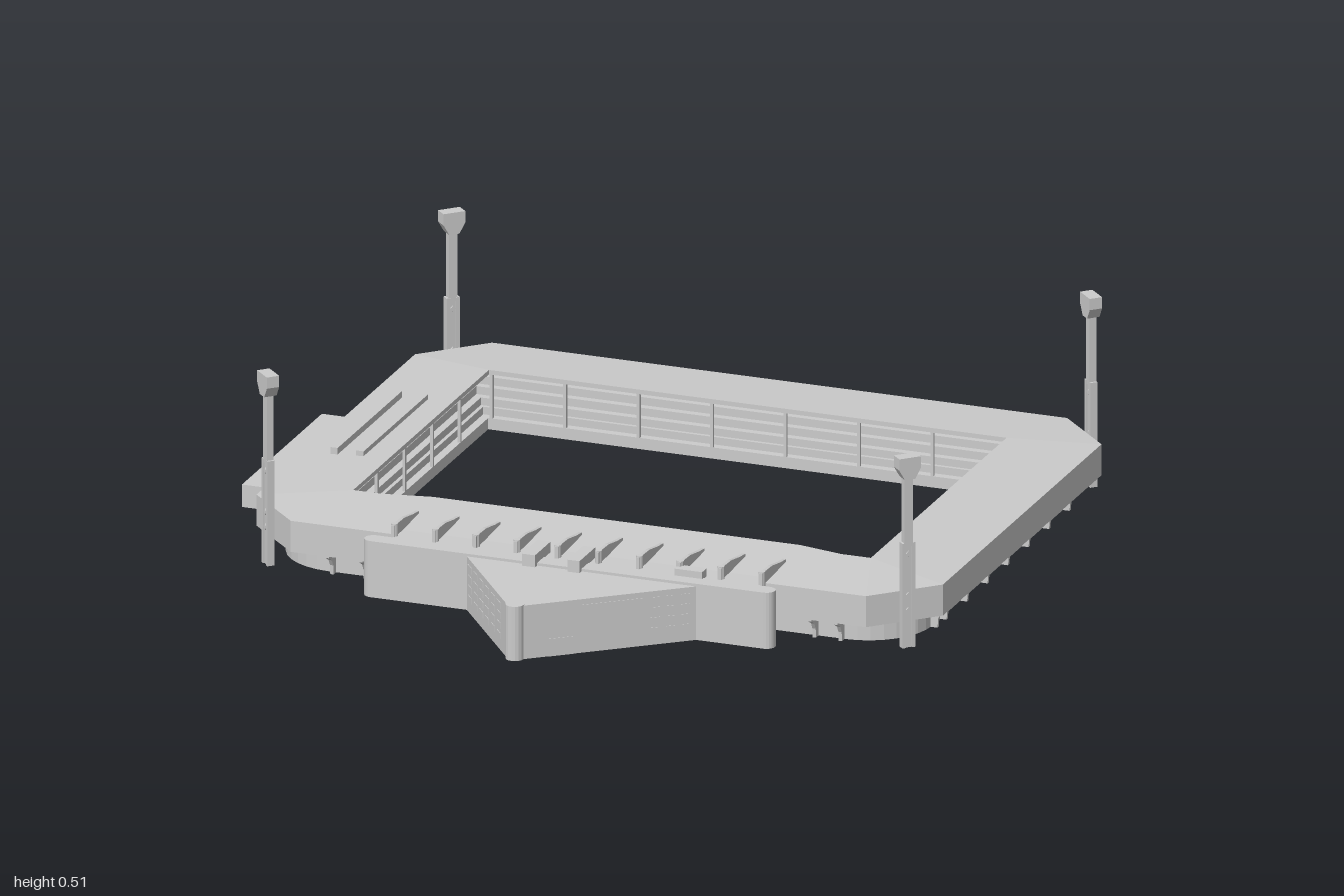
import * as THREE from 'three';

const mat = new THREE.MeshStandardMaterial({ color: 0xcccccc, flatShading: true, side: THREE.DoubleSide });

function add(parent, name, geo, x = 0, y = 0, z = 0, ry = 0) {
  const m = new THREE.Mesh(geo, mat);
  m.name = name;
  m.position.set(x, y, z);
  m.rotation.y = ry;
  parent.add(m);
  return m;
}

// box given by its x, y and z limits
function block(parent, name, x0, x1, y0, y1, z0, z1) {
  return add(parent, name, new THREE.BoxGeometry(x1 - x0, y1 - y0, z1 - z0),
    (x0 + x1) / 2, (y0 + y1) / 2, (z0 + z1) / 2);
}

// horizontal plate from a plan outline in [x, z]
const plan = pts => pts.map(([x, z]) => new THREE.Vector2(x, -z));
function slab(parent, name, outline, y0, y1, hole) {
  const shape = new THREE.Shape(plan(outline));
  if (hole) shape.holes.push(new THREE.Path(plan(hole)));
  const g = new THREE.ExtrudeGeometry(shape, { depth: y1 - y0, bevelEnabled: false });
  g.rotateX(-Math.PI / 2);
  return add(parent, name, g, 0, y0, 0);
}

// upright plate whose profile runs outward along [ox, oz]
function fin(parent, name, profile, width, x, z, ox, oz) {
  const shape = new THREE.Shape(profile.map(p => new THREE.Vector2(...p)));
  const g = new THREE.ExtrudeGeometry(shape, { depth: width, bevelEnabled: false });
  g.translate(0, 0, -width / 2);
  return add(parent, name, g, x, 0, z, Math.atan2(-oz, ox));
}

// skin through matching closed loops of [x, z], each at its own height
function loft(loops) {
  const pos = [], idx = [], n = loops[0].pts.length;
  for (const { pts, y } of loops) for (const [x, z] of pts) pos.push(x, y, z);
  for (let r = 0; r < loops.length - 1; r++) {
    for (let i = 0; i < n; i++) {
      const a = r * n + i, b = r * n + (i + 1) % n;
      idx.push(a, b, b + n, a, b + n, a + n);
    }
  }
  const g = new THREE.BufferGeometry();
  g.setAttribute('position', new THREE.Float32BufferAttribute(pos, 3));
  g.setIndex(idx);
  g.computeVertexNormals();
  return g;
}

// eight-sided outer outline, moved inward by d
function outer(d) {
  const c = 0.15 - 0.586 * d, l = -0.855 + d, r = 0.995 - d, b = -0.905 + d, f = 0.505 - d;
  return [[l + c, f], [-0.55, f], [-0.42, f], [0.57, f], [0.69, f], [r - c, f],
    [r, f - c], [r, b + c], [r - c, b], [l + c, b], [l, b + c], [l, f - c]];
}

// pitch opening, moved outward by d; the front edge bulges inward
function opening(d) {
  const l = -0.625 - d, r = 0.77 + d, b = -0.675 - d, f = 0.275 + d;
  return [[l, f], [-0.55, f], [-0.42, f - 0.025], [0.57, f - 0.025], [0.69, f], [r, f],
    [r, f], [r, b], [r, b], [l, b], [l, b], [l, f]];
}
const cleanOpening = d => opening(d).filter((p, i) => ![6, 8, 10, 11].includes(i));

// plan rectangle with rounded corners
function rounded(x0, x1, z0, z1, r, steps) {
  const pts = [];
  [[x1 - r, z1 - r], [x0 + r, z1 - r], [x0 + r, z0 + r], [x1 - r, z0 + r]].forEach(([cx, cz], k) => {
    for (let i = 0; i <= steps; i++) {
      const a = (k + i / steps) * Math.PI / 2;
      pts.push([cx + r * Math.cos(a), cz + r * Math.sin(a)]);
    }
  });
  return pts;
}

function floodlight(parent, x, z, sx, sz) {
  const g = new THREE.Group();
  g.name = 'floodlightMast';
  g.position.set(x, 0, z);
  g.rotation.y = Math.atan2(sx, sz);
  for (const s of [-1, 1]) block(g, 'mastLeg', s * 0.013 - 0.005, s * 0.013 + 0.005, 0, 0.28, -0.01, 0.01);
  block(g, 'mastWeb', -0.009, 0.009, 0, 0.28, -0.006, 0.006);
  block(g, 'mastShaft', -0.012, 0.012, 0.27, 0.47, -0.009, 0.009);
  for (const y of [0.1, 0.14, 0.25]) {
    add(g, 'mastPlate', new THREE.BoxGeometry(0.012, 0.012, 0.018), 0, y, 0).rotation.z = Math.PI / 4;
  }
  const head = new THREE.Shape([[-0.014, 0.452], [0.014, 0.452], [0.03, 0.48], [0.03, 0.51],
    [-0.03, 0.51], [-0.03, 0.48]].map(p => new THREE.Vector2(...p)));
  add(g, 'lampHead', new THREE.ExtrudeGeometry(head, { depth: 0.034, bevelEnabled: false }), 0, 0, -0.017);
  parent.add(g);
}

// wall frame: local x runs from a to b, local z points outward
function face(parent, name, a, b) {
  const g = new THREE.Group();
  g.name = name;
  g.position.set(a[0], 0, a[1]);
  g.rotation.y = Math.atan2(a[1] - b[1], b[0] - a[0]);
  parent.add(g);
  return g;
}
function windows(g, x0, dx, cols, rows) {
  for (let i = 0; i < cols; i++) for (let j = 0; j < rows; j++) {
    const x = x0 + i * dx, y = 0.03 + j * 0.027;
    block(g, 'window', x, x + dx * 0.6, y, y + 0.016, -0.002, 0.0015);
  }
}

export function createModel() {
  const root = new THREE.Group();
  root.name = 'stadium';

  // lower wall and stepped seating
  slab(root, 'base', rounded(-0.795, 0.935, -0.845, 0.445, 0.17, 8), 0, 0.05, cleanOpening(0.025));
  slab(root, 'pitchWall', cleanOpening(0.026), 0, 0.03, cleanOpening(0.003));
  for (let i = 0; i < 4; i++) {
    slab(root, 'terrace', outer(0.045).filter((p, k) => ![1, 2, 3, 4].includes(k)),
      0.049 + i * 0.021, 0.07 + i * 0.021, cleanOpening(0.035 + i * 0.02));
  }

  // fascia, roof and soffits as one skin
  add(root, 'roof', loft([
    { pts: outer(0.075), y: 0.044 }, { pts: outer(0), y: 0.062 }, { pts: outer(0), y: 0.145 },
    { pts: opening(0), y: 0.16 }, { pts: opening(0), y: 0.148 }, { pts: outer(0.04), y: 0.135 },
  ]));

  // brackets under the overhang
  const rib = [[-0.01, 0], [0.018, 0], [0.02, 0.025], [0.03, 0.042], [0.05, 0.054], [0.05, 0.06], [-0.01, 0.06]];
  for (let i = 0; i < 8; i++) {
    const z = -0.645 + i * 0.1435 - (i === 7 ? 0.08 : 0);
    fin(root, 'rib', rib, 0.009, 0.935, z, 1, 0);
    if (z < -0.48 || z > 0.08) fin(root, 'rib', rib, 0.009, -0.795, z, -1, 0);
  }
  for (let i = 0; i < 13; i++) fin(root, 'rib', rib, 0.009, -0.62 + i * 0.115, -0.845, 0, -1);
  for (const x of [-0.61, -0.52, 0.69, 0.76]) fin(root, 'rib', rib, 0.009, x, 0.445, 0, 1);

  // posts along the roof edge
  const post = (x, z) => block(root, 'roofPost', x - 0.004, x + 0.004, 0.02, 0.15, z - 0.004, z + 0.004);
  for (let i = 0; i < 8; i++) {
    post(-0.62 + i * 0.198, -0.682);
    post(-0.62 + i * 0.198, 0.285);
  }
  for (let i = 1; i < 5; i++) for (const x of [-0.632, 0.777]) post(x, -0.68 + i * 0.193);

  // corner floodlights
  for (const [x, z, sx, sz] of [[-0.788, -0.838, -1, -1], [0.935, -0.838, 1, -1],
    [-0.788, 0.447, -1, 1], [0.932, 0.44, 1, 1]]) floodlight(root, x, z, sx, sz);

  // side annex and roof vents
  block(root, 'sideAnnex', -1, -0.79, 0, 0.06, -0.48, 0.08);
  for (const x of [-0.775, -0.705]) block(root, 'roofVent', x - 0.01, x + 0.01, 0.14, 0.168, -0.43, 0.02);

  // front building with round-ended facade
  block(root, 'frontBlock', -0.42, 0.57, 0, 0.147, 0.43, 0.56);
  slab(root, 'facade', rounded(-0.483, 0.623, 0.54, 0.586, 0.0229, 5), 0, 0.15);

  // pointed entrance wing
  slab(root, 'entranceWing', [[-0.2, 0.57], [-0.2, 0.585], [0.022, 0.88], [0.058, 0.88], [0.42, 0.585], [0.42, 0.57]], 0, 0.143);
  add(root, 'wingTip', new THREE.CylinderGeometry(0.024, 0.024, 0.145, 16), 0.041, 0.0725, 0.874);
  const leftFace = face(root, 'wingLeftFace', [-0.2, 0.585], [0.022, 0.88]);
  windows(leftFace, 0.015, 0.053, 6, 4);
  const rightFace = face(root, 'wingRightFace', [0.058, 0.88], [0.42, 0.585]);
  block(rightFace, 'largePanel', 0.165, 0.33, 0.015, 0.128, -0.002, 0.0015);
  block(rightFace, 'door', 0.07, 0.14, 0, 0.047, -0.002, 0.0015);
  windows(rightFace, 0.345, 0.04, 3, 4);

  // roof struts over the front stand
  const strut = [[0.36, 0.145], [0.36, 0.16], [0.4, 0.165], [0.46, 0.176], [0.53, 0.178], [0.53, 0.14]];
  for (let i = 0; i < 10; i++) {
    const x = -0.42 + i * 0.11;
    fin(root, 'strut', strut, 0.009, x, 0, 0, 1);
    add(root, 'strutFoot', new THREE.CylinderGeometry(0.009, 0.009, 0.04, 10), x, 0.16, 0.518);
  }

  // rooftop plant boxes
  block(root, 'roofBox', -0.045, -0.01, 0.14, 0.175, 0.49, 0.6);
  block(root, 'roofBox', 0.078, 0.11, 0.14, 0.175, 0.49, 0.6);
  block(root, 'roofBox', 0.345, 0.42, 0.14, 0.168, 0.515, 0.547);
  return root;
}
